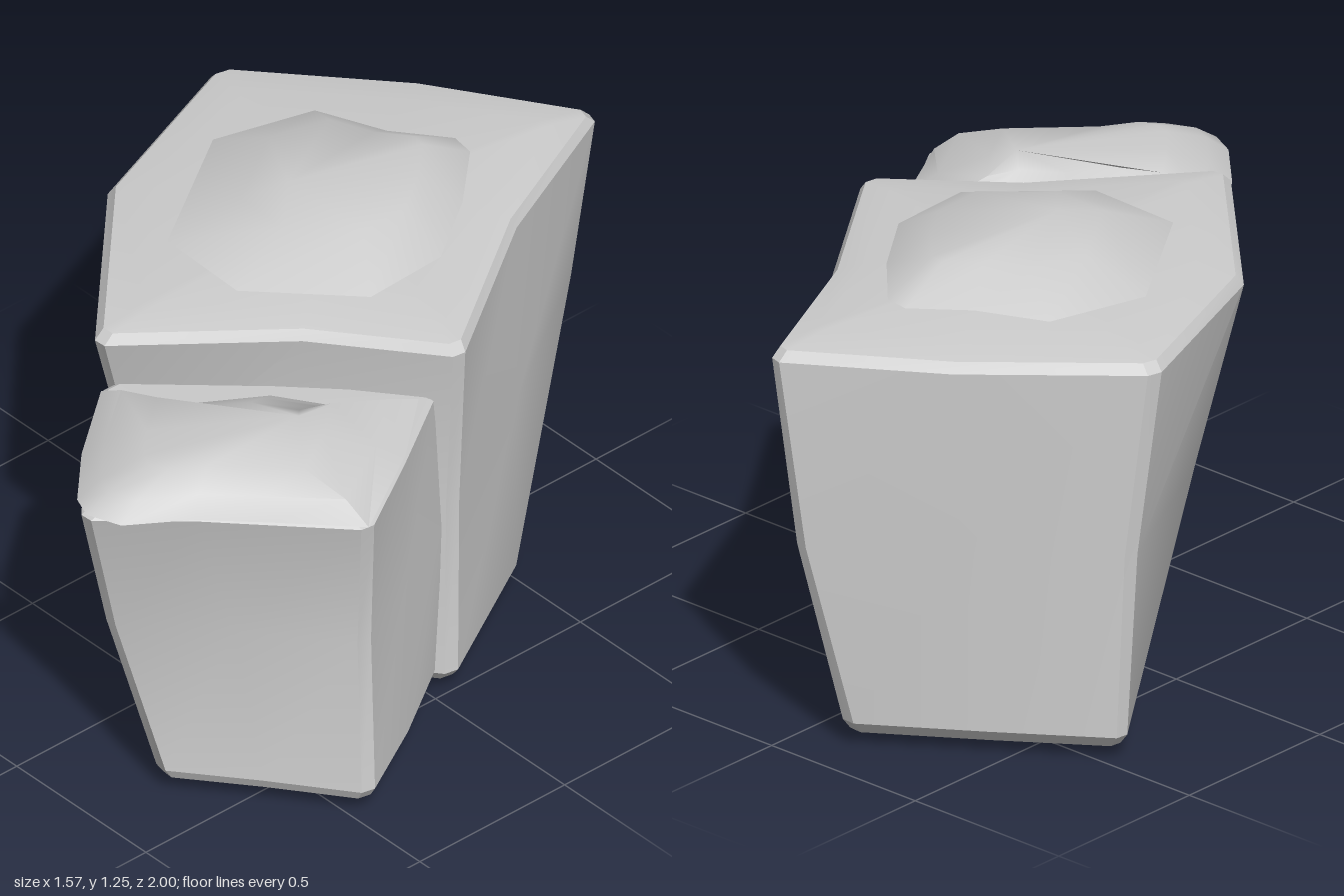
import * as THREE from 'three';
import { toCreasedNormals } from 'three/addons/utils/BufferGeometryUtils.js';

const stone = new THREE.MeshStandardMaterial({ color: 0xcccccc, side: THREE.DoubleSide });

// Skin between rings of [x, y, z] points (bottom to top), closed with fans at both ends
function loft(name, rings, bottom, top, crease) {
  const pos = [];
  const tri = (a, b, c) => pos.push(...a, ...b, ...c);
  const n = rings[0].length;
  for (let i = 0; i < n; i++) {
    const j = (i + 1) % n;
    tri(bottom, rings[0][j], rings[0][i]);
    for (let k = 0; k < rings.length - 1; k++) {
      const lo = rings[k], hi = rings[k + 1];
      tri(lo[i], lo[j], hi[j]);
      tri(lo[i], hi[j], hi[i]);
    }
    const last = rings[rings.length - 1];
    tri(last[i], last[j], top);
  }
  const geo = new THREE.BufferGeometry();
  geo.setAttribute('position', new THREE.Float32BufferAttribute(pos, 3));
  const mesh = new THREE.Mesh(toCreasedNormals(geo, crease), stone);
  mesh.name = name;
  return mesh;
}

const centre = (ring) => [0, 1, 2].map((a) => ring.reduce((s, p) => s + p[a], 0) / ring.length);

// Shrink a ring towards its middle and set its height
function inset(ring, scale, y) {
  const c = centre(ring);
  return ring.map((p) => [c[0] + (p[0] - c[0]) * scale, y, c[2] + (p[2] - c[2]) * scale]);
}

// Outline of corner, edge middle, corner, ... with each corner cut off
function outline(points, y, cut = 0.026) {
  const ring = [];
  const n = points.length;
  points.forEach((p, i) => {
    if (i % 2) return ring.push([p[0], y, p[1]]);
    for (const q of [points[(i + n - 1) % n], points[(i + 1) % n]]) {
      const t = cut / Math.hypot(q[0] - p[0], q[1] - p[1]);
      ring.push([p[0] + (q[0] - p[0]) * t, y, p[1] + (q[1] - p[1]) * t]);
    }
  });
  return ring;
}

// Bevelled stone block: outlines at foot, waist and rim, with slightly domed ends
function block(name, foot, waist, rim, [yBase, yFoot, yWaist, yRim, yTop]) {
  const f = outline(foot, yFoot), w = outline(waist, yWaist), r = outline(rim, yRim);
  const rings = [
    inset(f, 0.78, yBase + 0.012), inset(f, 0.95, yFoot + (yBase - yFoot) * 0.5),
    f, w, r,
    inset(r, 0.965, yRim + (yTop - yRim) * 0.5), inset(r, 0.8, yTop - 0.008),
  ];
  const b = centre(f), t = centre(r);
  return loft(name, rings, [b[0], yBase, b[2]], [t[0], yTop, t[2]], 0.4);
}

// Shallow worn mound lying on top of a block; steps are [scale, height]
function mound(name, rim, steps, peak) {
  const rings = [rim, ...steps.map(([scale, y]) => inset(rim, scale, y))];
  return loft(name, rings, centre(rim), peak, 0.9);
}

export function createModel() {
  const group = new THREE.Group();

  // Tall block: back, left-hand, front and right-hand corners with edge middles between
  group.add(block('largeBlock',
    [[-0.15, -0.89], [-0.46, -0.68], [-0.755, -0.47], [-0.39, -0.03], [-0.03, 0.4], [0.24, 0.19], [0.53, -0.04], [0.28, -0.475]],
    [[-0.07, -0.985], [-0.41, -0.73], [-0.76, -0.445], [-0.5, 0.07], [-0.17, 0.46], [0.18, 0.18], [0.495, -0.075], [0.26, -0.495]],
    [[0, -1.01], [-0.4, -0.75], [-0.8, -0.4], [-0.59, 0.16], [-0.12, 0.625], [0.22, 0.21], [0.55, -0.05], [0.22, -0.53]],
    [0, 0.073, 0.58, 1.095, 1.148]));

  group.add(mound('largeBlockMound',
    [[-0.05, 1.15, -0.61], [-0.12, 1.15, -0.62], [-0.26, 1.15, -0.51], [-0.45, 1.15, -0.43],
      [-0.53, 1.15, -0.15], [-0.28, 1.15, 0.23], [0, 1.15, 0.24], [0.25, 1.15, 0],
      [0.24, 1.15, -0.25], [0.1, 1.15, -0.45]],
    [[0.6, 1.23]], [-0.16, 1.255, -0.08]));

  // Lower block, its back end sunk into the front face of the tall one
  group.add(block('smallBlock',
    [[0.46, -0.05], [0.22, 0.18], [-0.03, 0.42], [0.14, 0.62], [0.33, 0.815], [0.55, 0.64], [0.78, 0.47], [0.64, 0.22]],
    [[0.47, -0.06], [0.16, 0.2], [-0.14, 0.46], [0.03, 0.69], [0.22, 0.89], [0.46, 0.66], [0.73, 0.44], [0.6, 0.19]],
    [[0.46, -0.04], [0.16, 0.25], [-0.14, 0.57], [0.05, 0.81], [0.26, 1.01], [0.46, 0.79], [0.79, 0.48], [0.63, 0.22]],
    [0.02, 0.08, 0.52, 0.935, 0.955]));

  group.add(mound('smallBlockMound',
    [[0.48, 0.97, 0.04], [0.42, 0.975, 0.19], [0.22, 0.975, 0.32], [0.08, 0.97, 0.53], [-0.1, 0.96, 0.62],
      [0.06, 0.95, 0.83], [0.2, 0.95, 0.97], [0.27, 0.955, 1], [0.36, 0.95, 0.96], [0.46, 0.945, 0.8],
      [0.6, 0.945, 0.66], [0.78, 0.94, 0.48], [0.63, 0.96, 0.22]],
    [[0.84, 1], [0.55, 1.043]], [0.43, 1.07, 0.41]));

  return group;
}
